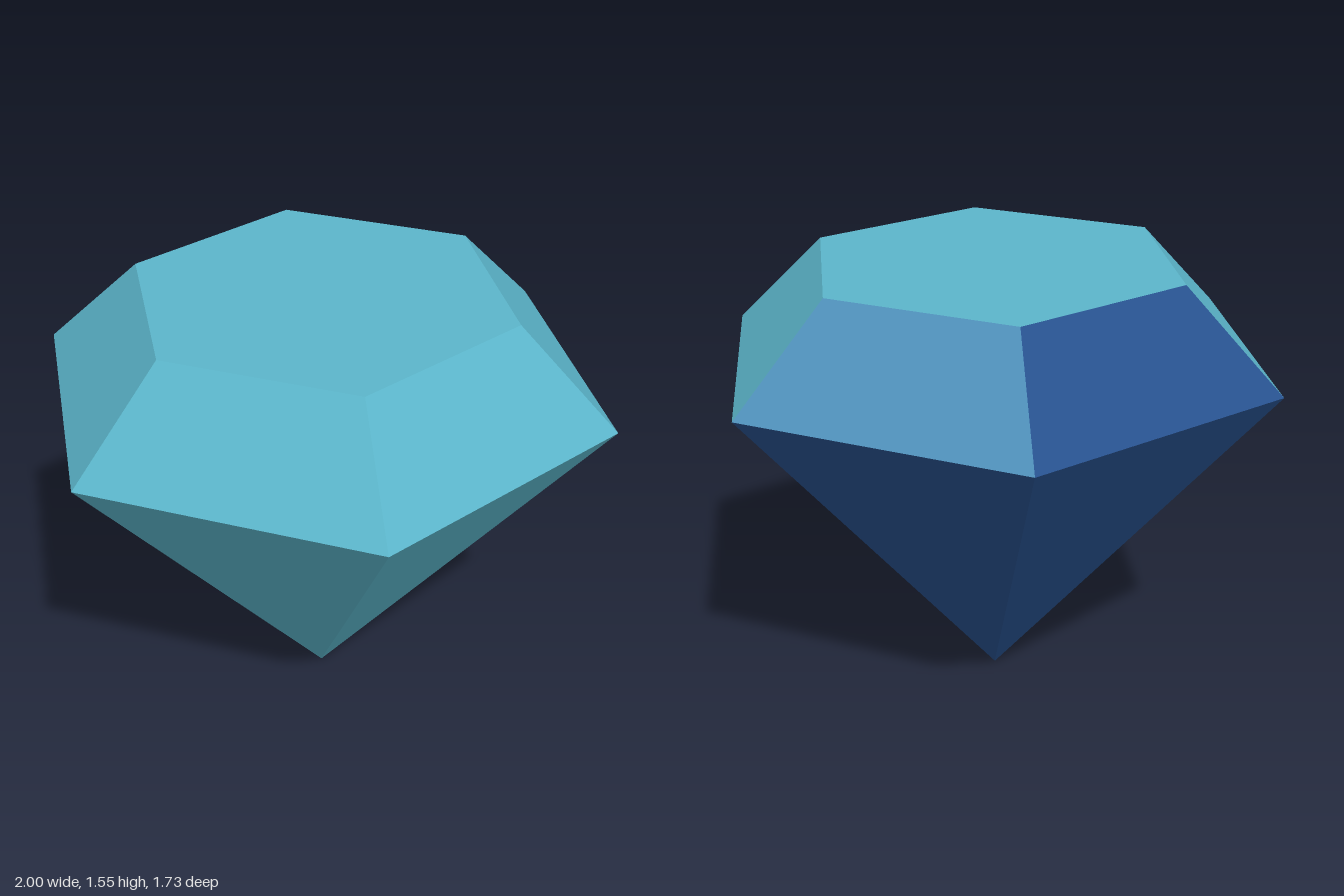
import * as THREE from 'three';

const SIDES = 6, GIRDLE_Y = 1.22, TABLE_Y = 1.55, GIRDLE_R = 1, TABLE_R = 0.66;

function makeMaterial(name, color) {
  const material = new THREE.MeshStandardMaterial({ color });
  material.name = name;
  return material;
}

// Corner i of a hexagonal ring; corner 0 lies on +x, counting on towards +z
function corner(i, radius, y) {
  const a = (i / SIDES) * Math.PI * 2;
  return new THREE.Vector3(Math.cos(a) * radius, y, Math.sin(a) * radius);
}

// Flat convex facet, corners counter-clockwise seen from outside
function facet(name, points, material) {
  const triangles = [];
  for (let i = 1; i < points.length - 1; i++) triangles.push(points[0], points[i], points[i + 1]);
  const geometry = new THREE.BufferGeometry().setFromPoints(triangles);
  geometry.computeVertexNormals();
  const mesh = new THREE.Mesh(geometry, material);
  mesh.name = name;
  return mesh;
}

export function createModel() {
  const teal = makeMaterial('teal', 0x5bb5ca);
  const midBlue = makeMaterial('midBlue', 0x5091bc);
  const deepBlue = makeMaterial('deepBlue', 0x27518e);

  // Facets run: front left, front, front right, back right, back, back left
  const crownColors = [teal, teal, teal, deepBlue, midBlue, teal];
  const pavilionColors = [teal, teal, teal, deepBlue, deepBlue, teal];

  const gem = new THREE.Group();
  gem.name = 'gem';
  const crown = new THREE.Group();
  crown.name = 'crown';
  const pavilion = new THREE.Group();
  pavilion.name = 'pavilion';
  gem.add(crown, pavilion);

  const tip = new THREE.Vector3(0, 0, 0);
  const tableCorners = [];
  for (let i = 0; i < SIDES; i++) {
    const a = corner(i, GIRDLE_R, GIRDLE_Y), b = corner(i + 1, GIRDLE_R, GIRDLE_Y);
    const c = corner(i + 1, TABLE_R, TABLE_Y), d = corner(i, TABLE_R, TABLE_Y);
    // Sloping upper facet and pointed lower facet
    crown.add(facet(`crownFacet${i + 1}`, [a, d, c, b], crownColors[i]));
    pavilion.add(facet(`pavilionFacet${i + 1}`, [a, b, tip], pavilionColors[i]));
    tableCorners.unshift(d);
  }
  // Flat top
  gem.add(facet('table', tableCorners, teal));
  return gem;
}
